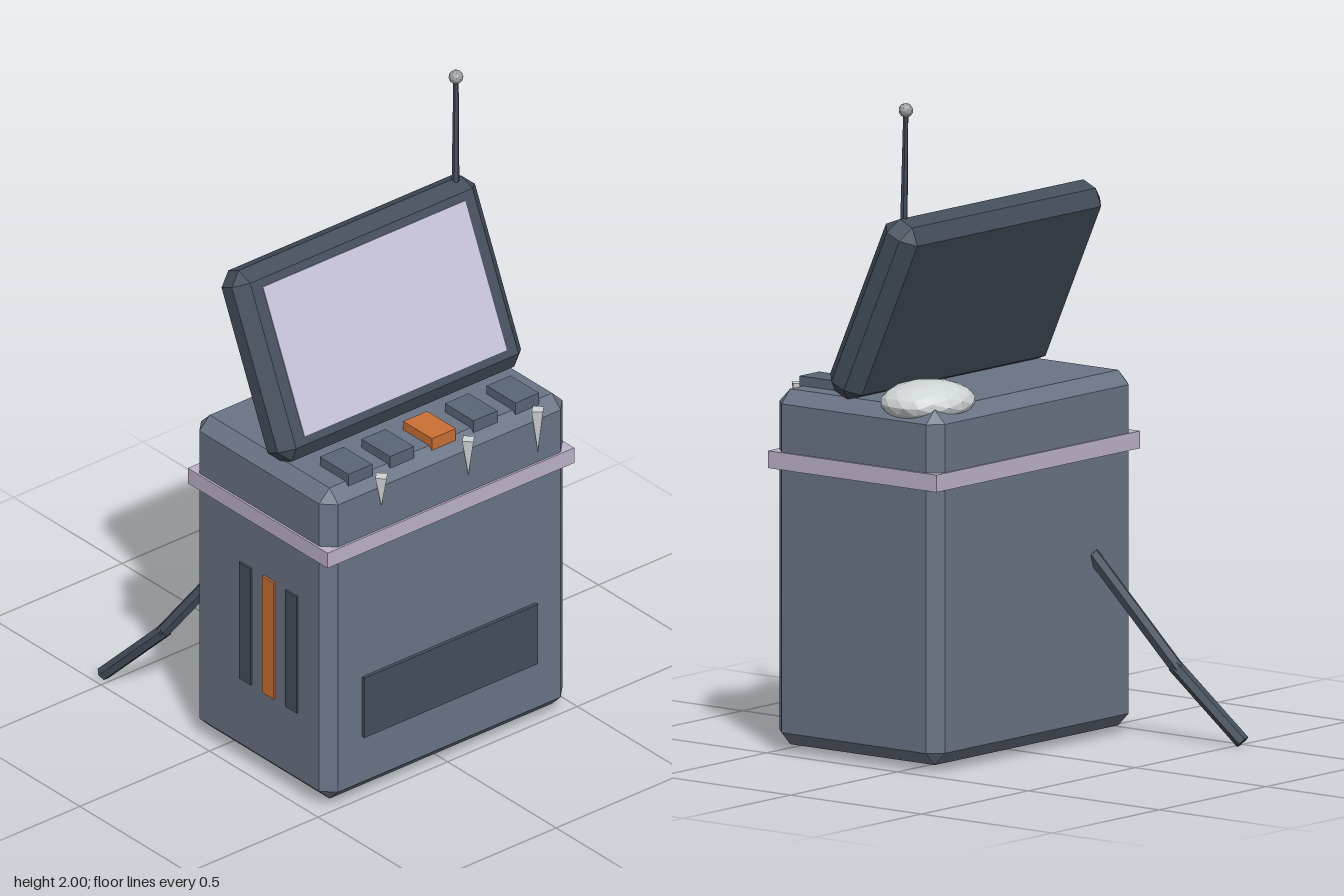
import * as THREE from 'three';
import { ConvexGeometry } from 'three/addons/geometries/ConvexGeometry.js';

const material = (name, color) => {
  const m = new THREE.MeshStandardMaterial({ color, flatShading: true });
  m.name = name;
  return m;
};

// Box with every edge cut at 45 degrees, centred on the origin
function chamferedBox(w, h, d, c) {
  const points = [];
  for (const x of [-w / 2, w / 2]) for (const y of [-h / 2, h / 2]) for (const z of [-d / 2, d / 2]) {
    const ix = x - Math.sign(x) * c, iy = y - Math.sign(y) * c, iz = z - Math.sign(z) * c;
    points.push(new THREE.Vector3(x, iy, iz), new THREE.Vector3(ix, y, iz), new THREE.Vector3(ix, iy, z));
  }
  return new ConvexGeometry(points);
}

export function createModel() {
  const slate = material('slate casing', 0x6a7485);
  const dark = material('dark slate', 0x444e5b);
  const keyGrey = material('key slate', 0x596576);
  const lilac = material('lilac trim', 0xbdb2c9);
  const glass = material('pale screen', 0xc6c3da);
  const orange = material('orange', 0xca7034);
  const ice = material('ice', 0xd0d5d5);
  const metal = material('grey metal', 0x9a9fa1);

  const model = new THREE.Group();
  model.name = 'console';
  const add = (name, geometry, mat, x, y, z, parent = model) => {
    const mesh = new THREE.Mesh(geometry, mat);
    mesh.name = name;
    mesh.position.set(x, y, z);
    parent.add(mesh);
    return mesh;
  };

  // Straight rod between two points
  const rod = (name, from, to, r0, r1, sides, mat) => {
    const a = new THREE.Vector3(...from), b = new THREE.Vector3(...to);
    const dir = b.clone().sub(a), mid = a.clone().add(b).multiplyScalar(0.5);
    const mesh = add(name, new THREE.CylinderGeometry(r1, r0, dir.length(), sides), mat, mid.x, mid.y, mid.z);
    mesh.quaternion.setFromUnitVectors(new THREE.Vector3(0, 1, 0), dir.normalize());
  };

  // Casing and the trim around it
  add('body', chamferedBox(0.938, 1.068, 0.632, 0.04), slate, 0.002, 0.557, 0.19);
  add('trimBand', new THREE.BoxGeometry(0.952, 0.052, 0.644), lilac, 0.002, 0.88, 0.191);
  add('frontPanel', new THREE.BoxGeometry(0.67, 0.205, 0.03), dark, 0, 0.322, 0.502);

  // Slots on the right side
  [0.131, 0.237, 0.343].forEach((z, i) =>
    add('sideSlot', new THREE.BoxGeometry(0.03, 0.4, 0.053), i === 1 ? orange : dark, -0.459, 0.49, z));

  // Tilted display
  const display = new THREE.Group();
  display.name = 'display';
  display.position.set(0.002, 1.365, 0.146);
  display.rotation.x = -0.422;
  model.add(display);
  add('displayHousing', chamferedBox(0.938, 0.598, 0.132, 0.04), dark, 0, 0, 0, display);
  add('screen', new THREE.BoxGeometry(0.78, 0.468, 0.008), glass, 0, 0, 0.065, display);

  // Row of keys
  for (let i = -2; i <= 2; i++)
    add('key', new THREE.BoxGeometry(0.092, 0.04, 0.132), i === 0 ? orange : keyGrey, 0.003 + i * 0.161, 1.1, 0.413);

  // Icicles along the front edge
  for (const [x, length] of [[-0.265, 0.105], [0.07, 0.125], [0.338, 0.147]]) {
    const icicle = add('icicle', new THREE.ConeGeometry(0.024, length, 4), ice, x, 1.092 - length / 2, 0.512);
    icicle.rotation.x = Math.PI;
  }

  // Mound of snow on the back corner
  const snow = add('snowMound', new THREE.IcosahedronGeometry(1, 2), ice, 0.337, 1.092, 0.016);
  snow.scale.set(0.153, 0.064, 0.135);

  // Antenna with a ball tip
  rod('antenna', [0.402, 1.6, 0.056], [0.43, 1.98, 0.025], 0.012, 0.008, 6, dark);
  add('antennaTip', new THREE.IcosahedronGeometry(0.022, 1), metal, 0.43, 1.978, 0.025);

  // Bent cable hanging from the back
  rod('cableUpper', [-0.268, 0.565, -0.115], [-0.404, 0.224, -0.332], 0.022, 0.022, 6, dark);
  rod('cableLower', [-0.4, 0.235, -0.322], [-0.468, 0.017, -0.528], 0.022, 0.022, 6, dark);

  return model;
}
